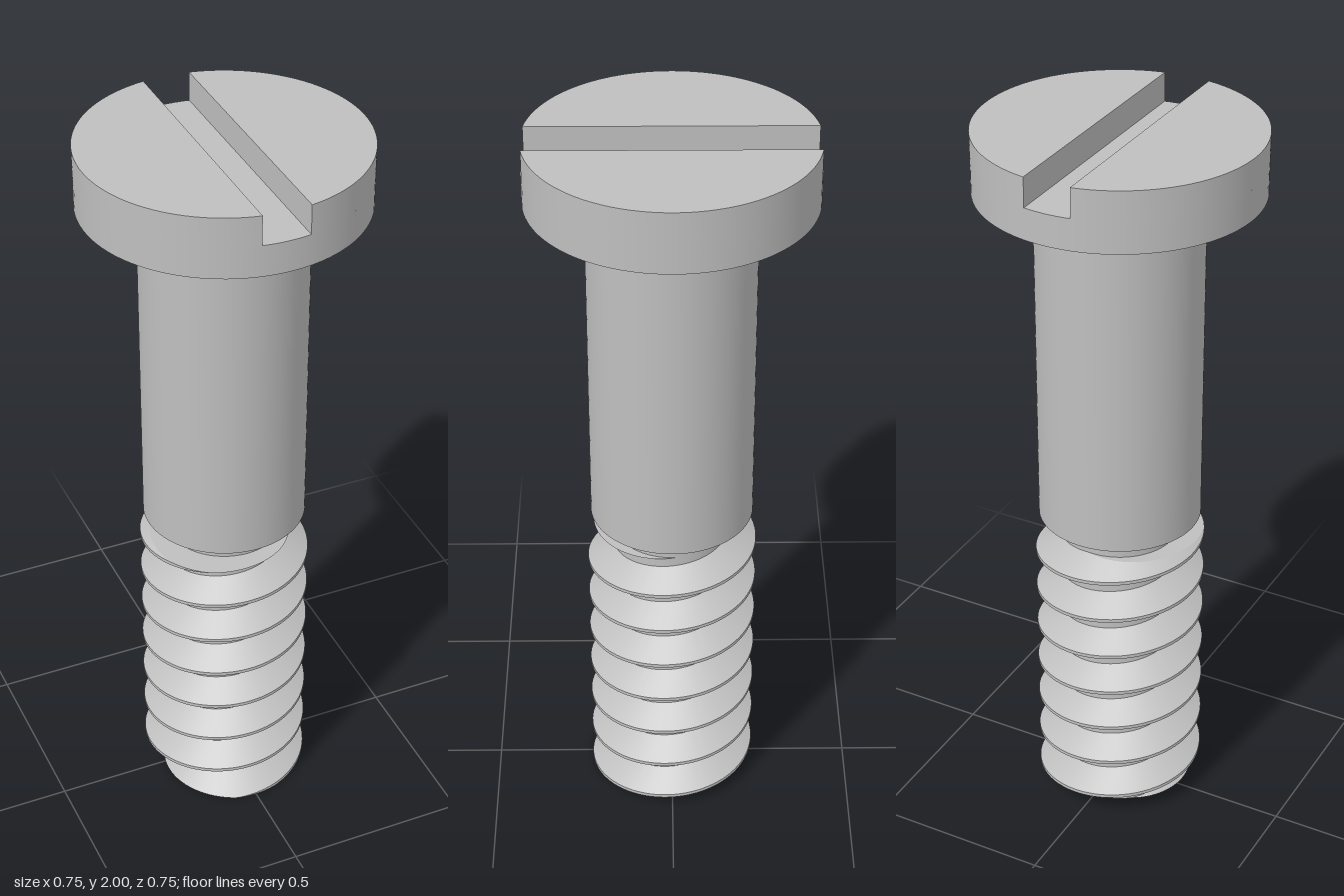
import * as THREE from 'three';
import { toCreasedNormals } from 'three/addons/utils/BufferGeometryUtils.js';

const HEAD_R = 0.373, HEAD_BOTTOM = 1.835, SLOT_FLOOR = 1.92, TOP = 2, SLOT_HALF = 0.063;
const SHANK_R = 0.22, SHANK_BOTTOM = 0.89;
const ROOT_R = 0.157, CREST_R = 0.23, PITCH = 0.1208, THREAD_TOP = 0.83;
const CREST_HALF = 0.005, FLANK_HALF = 0.047; // half widths of the ridge at crest and root

// Right-handed thread with both ends cut flat
function threadGeometry(columns = 96) {
  const radiusAt = (y, shift) => {
    const d = Math.abs(y - shift - PITCH * Math.round((y - shift) / PITCH));
    const t = THREE.MathUtils.clamp((d - CREST_HALF) / (FLANK_HALF - CREST_HALF), 0, 1);
    return THREE.MathUtils.lerp(CREST_R, ROOT_R, t);
  };
  const grid = [];
  for (let i = 0; i <= columns; i++) {
    const turn = i / columns, angle = turn * Math.PI * 2, shift = turn * PITCH;
    const point = (r, y) => new THREE.Vector3(r * Math.sin(angle), y, r * Math.cos(angle));
    const column = [point(0, 0), point(radiusAt(0, shift), 0)];
    for (let k = -2; k <= 8; k++) {
      for (const offset of [-FLANK_HALF, -CREST_HALF, CREST_HALF, FLANK_HALF]) {
        const y = THREE.MathUtils.clamp(k * PITCH + shift + offset, 0, THREAD_TOP);
        column.push(point(radiusAt(y, shift), y));
      }
    }
    column.push(point(radiusAt(THREAD_TOP, shift), THREAD_TOP), point(0, THREAD_TOP));
    grid.push(column);
  }
  const positions = [];
  const triangle = (a, b, c) => {
    const area = b.clone().sub(a).cross(c.clone().sub(a)).length();
    if (area > 1e-9) for (const p of [a, b, c]) positions.push(p.x, p.y, p.z);
  };
  for (let i = 0; i < columns; i++) {
    for (let j = 0; j < grid[0].length - 1; j++) {
      const a = grid[i][j], b = grid[i + 1][j], c = grid[i + 1][j + 1], d = grid[i][j + 1];
      triangle(a, b, c);
      triangle(a, c, d);
    }
  }
  const geometry = new THREE.BufferGeometry();
  geometry.setAttribute('position', new THREE.Float32BufferAttribute(positions, 3));
  return toCreasedNormals(geometry, 0.5);
}

export function createModel() {
  const model = new THREE.Group();
  model.name = 'shoulderScrew';
  const steel = new THREE.MeshStandardMaterial({ color: 0xbfbfbf });
  steel.name = 'steel grey';

  const add = (name, geometry) => {
    const mesh = new THREE.Mesh(geometry, steel);
    mesh.name = name;
    model.add(mesh);
    return mesh;
  };
  const addCylinder = (name, radius, bottom, top) => {
    add(name, new THREE.CylinderGeometry(radius, radius, top - bottom, 96))
      .position.y = (top + bottom) / 2;
  };

  // Plain turned sections
  addCylinder('headBase', HEAD_R, HEAD_BOTTOM, SLOT_FLOOR);
  addCylinder('shank', SHANK_R, SHANK_BOTTOM, HEAD_BOTTOM);
  addCylinder('neck', ROOT_R, THREAD_TOP, SHANK_BOTTOM);

  // Two head segments leave the driver slot between them
  const half = Math.acos(SLOT_HALF / HEAD_R);
  const segment = new THREE.Shape();
  segment.absarc(0, 0, HEAD_R, -half, half, false);
  segment.closePath();
  const segmentGeometry = toCreasedNormals(
    new THREE.ExtrudeGeometry(segment, {
      depth: TOP - SLOT_FLOOR, bevelEnabled: false, curveSegments: 48,
    }).rotateX(-Math.PI / 2), 0.5);
  for (const [name, turn] of [['leftHeadSegment', 0], ['rightHeadSegment', Math.PI]]) {
    const mesh = add(name, segmentGeometry);
    mesh.position.y = SLOT_FLOOR;
    mesh.rotation.y = turn;
  }

  add('thread', threadGeometry());
  return model;
}
